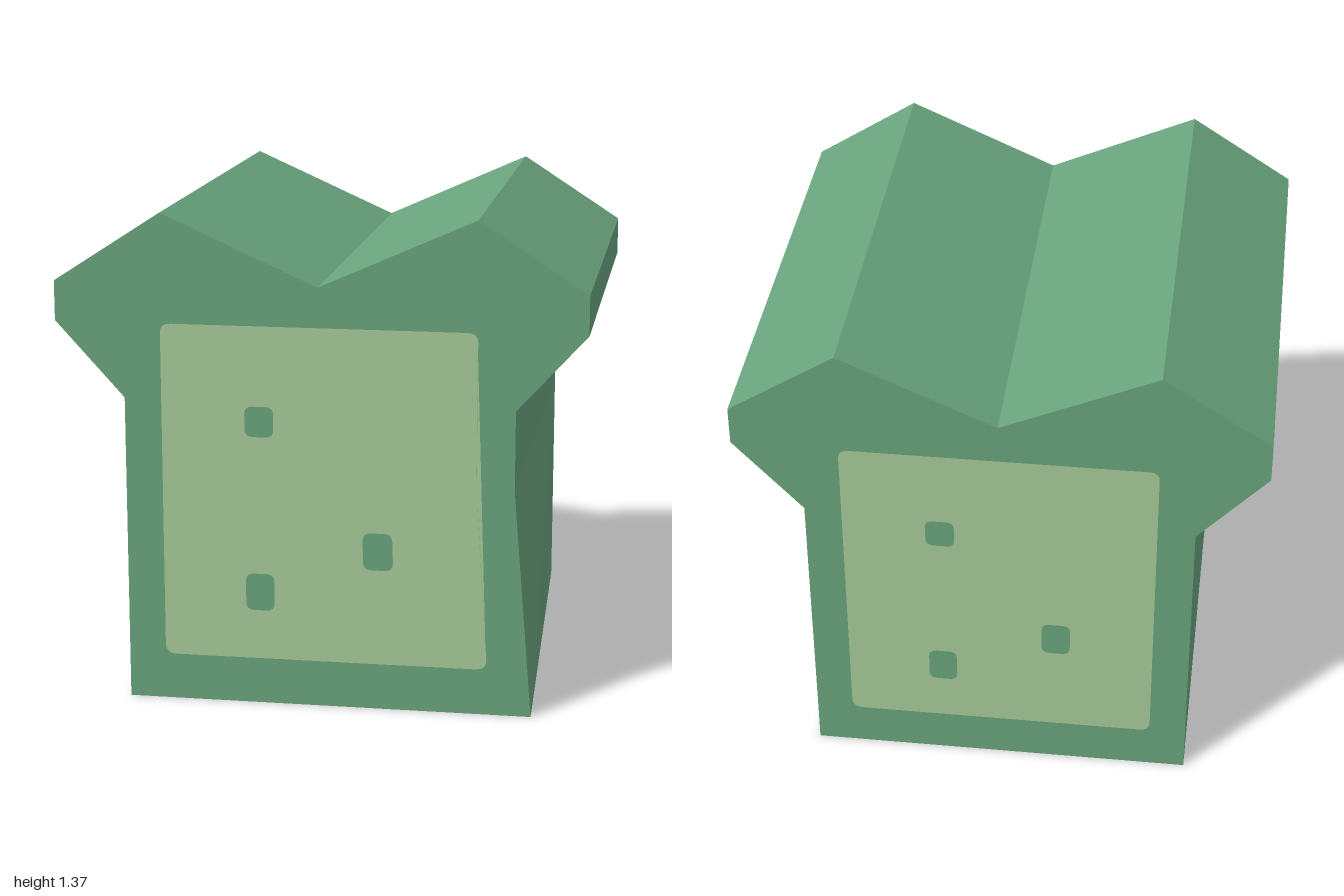
import * as THREE from 'three';

const HALF_DEPTH = 0.686;

// Rounded rectangle outline, centred on (x, y)
function roundedRect(target, x, y, w, h, r) {
  const l = x - w / 2, t = y + h / 2, R = x + w / 2, b = y - h / 2;
  target.moveTo(l + r, b);
  target.lineTo(R - r, b);
  target.quadraticCurveTo(R, b, R, b + r);
  target.lineTo(R, t - r);
  target.quadraticCurveTo(R, t, R - r, t);
  target.lineTo(l + r, t);
  target.quadraticCurveTo(l, t, l, t - r);
  target.lineTo(l, b + r);
  target.quadraticCurveTo(l, b, l + r, b);
  return target;
}

// Flares the lower +x corner of the front end outward
function flare(geometry) {
  const p = geometry.attributes.position;
  for (let i = 0; i < p.count; i++) {
    const x = p.getX(i), y = p.getY(i);
    if (p.getZ(i) > 0 && x > 0 && y < 0.64) {
      p.setX(i, x + 0.053 * (1 - y / 0.64) * (x / 0.537));
    }
  }
  geometry.computeVertexNormals();
  return geometry;
}

// Pale end panel with three openings showing the body behind it
function panelGeometry() {
  const shape = new THREE.Shape();
  shape.moveTo(-0.404, 0.13);
  shape.lineTo(0.404, 0.13);
  shape.quadraticCurveTo(0.434, 0.13, 0.434, 0.16);
  shape.lineTo(0.434, 0.64);
  shape.lineTo(0.434, 1.045);
  shape.quadraticCurveTo(0.434, 1.07, 0.404, 1.07);
  shape.lineTo(-0.404, 1.07);
  shape.quadraticCurveTo(-0.434, 1.07, -0.434, 1.045);
  shape.lineTo(-0.434, 0.16);
  shape.quadraticCurveTo(-0.434, 0.13, -0.404, 0.13);
  for (const [x, y, h] of [[-0.163, 0.805, 0.085], [0.16, 0.452, 0.105], [-0.163, 0.322, 0.105]]) {
    shape.holes.push(roundedRect(new THREE.Path(), x, y, 0.08, h, 0.022));
  }
  return new THREE.ShapeGeometry(shape, 4).translate(0, 0, HALF_DEPTH + 0.002);
}

export function createModel() {
  const green = new THREE.MeshStandardMaterial({ color: 0x69a47d });
  green.name = 'leaf green';
  const pale = new THREE.MeshStandardMaterial({ color: 0xa5c997 });
  pale.name = 'pale green';

  const model = new THREE.Group();
  model.name = 'block';

  // Body: twin-ridged profile, mirrored left to right and extruded
  const half = [[0.537, 0], [0.537, 0.64], [0.537, 0.86], [0.728, 1.07], [0.728, 1.18], [0.431, 1.372]];
  const outline = [
    ...half,
    [0, 1.18],
    ...half.slice().reverse().map(([x, y]) => [-x, y]),
  ].map(([x, y]) => new THREE.Vector2(x, y));
  const bodyGeometry = new THREE.ExtrudeGeometry(new THREE.Shape(outline), {
    depth: HALF_DEPTH * 2, bevelEnabled: false,
  }).translate(0, 0, -HALF_DEPTH);
  const body = new THREE.Mesh(flare(bodyGeometry), green);
  body.name = 'body';
  model.add(body);

  // Panels on both ends
  const frontPanel = new THREE.Mesh(flare(panelGeometry()), pale);
  frontPanel.name = 'frontPanel';
  const backPanel = new THREE.Mesh(panelGeometry(), pale);
  backPanel.name = 'backPanel';
  backPanel.rotation.y = Math.PI;
  model.add(frontPanel, backPanel);

  // The block stands diagonally
  model.rotation.y = -Math.PI / 4;
  const root = new THREE.Group();
  root.name = 'model';
  root.add(model);
  return root;
}
